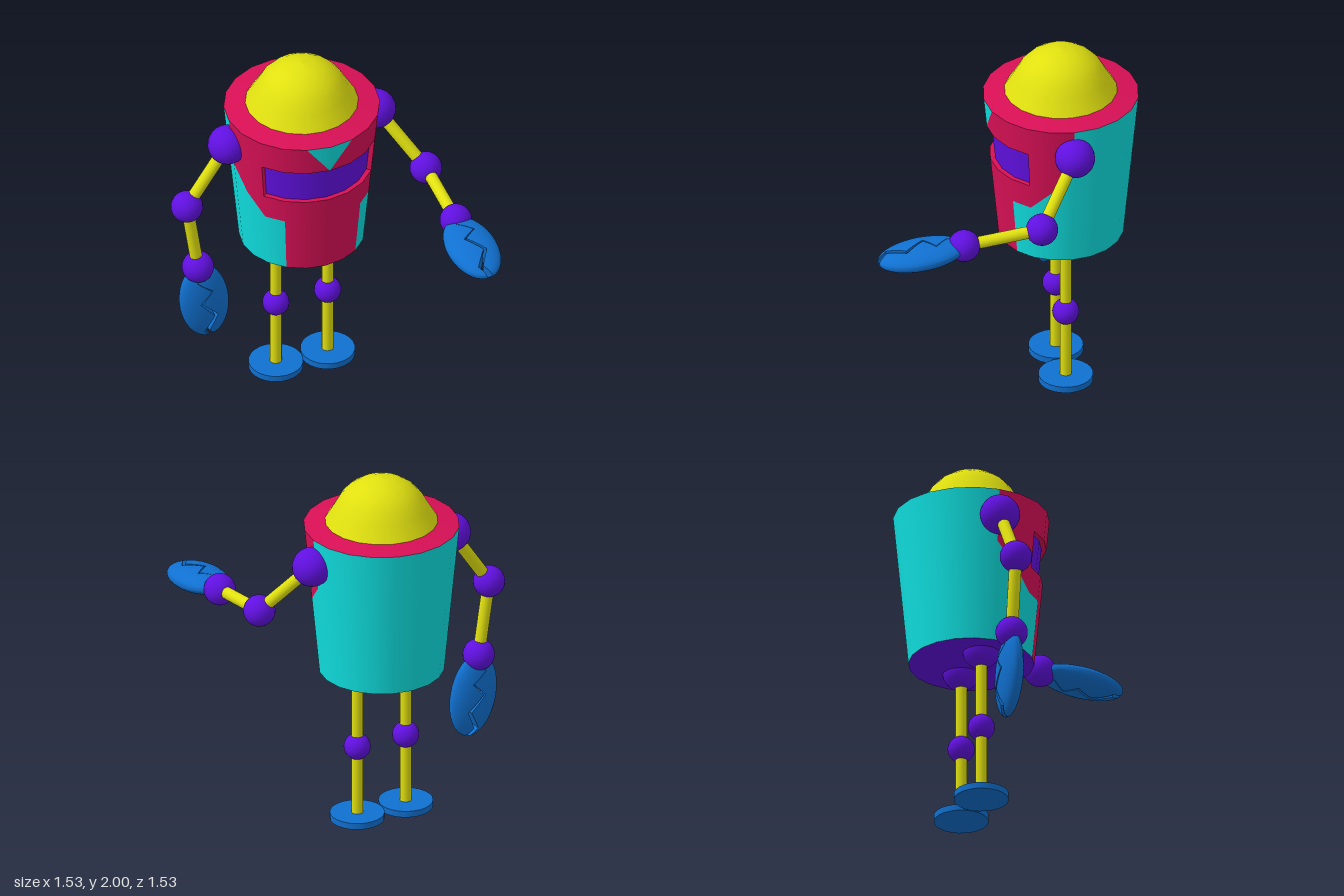
import * as THREE from 'three';
import { toCreasedNormals } from 'three/addons/utils/BufferGeometryUtils.js';

const mat = (color) => new THREE.MeshStandardMaterial({ color, side: THREE.DoubleSide });
const red = mat(0xd81055), cyan = mat(0x10e0e0), yellow = mat(0xe0e010);
const purple = mat(0x6010e0), blue = mat(0x1070d0);

const SIDES = 20, BOTTOM = 0.868, TOP = 1.725, R0 = 0.339, R1 = 0.421;
const radiusAt = (y) => R0 + (R1 - R0) * (y - BOTTOM) / (TOP - BOTTOM);
const V = (x, y, z) => new THREE.Vector3(x, y, z);

function add(parent, name, geometry, material, position) {
  const mesh = new THREE.Mesh(geometry, material);
  mesh.name = name;
  if (position) mesh.position.copy(position);
  parent.add(mesh);
  return mesh;
}

// Piece of the tapered shell between facet edges k0 and k1; low and high give its heights
function panel(k0, k1, low, high, insetLow = 0, insetHigh = insetLow) {
  const pos = [], nor = [], idx = [];
  for (let k = k0; k <= k1; k++) {
    const a = k * Math.PI * 2 / SIDES;
    for (const [y, inset] of [[low(Math.abs(k)), insetLow], [high(Math.abs(k)), insetHigh]]) {
      const r = radiusAt(y) - inset;
      pos.push(r * Math.sin(a), y, r * Math.cos(a));
      const n = V(Math.sin(a), (R0 - R1) / (TOP - BOTTOM), Math.cos(a)).normalize();
      nor.push(n.x, n.y, n.z);
    }
    if (k < k1) {
      const i = (k - k0) * 2;
      idx.push(i, i + 2, i + 3, i, i + 3, i + 1);
    }
  }
  const g = new THREE.BufferGeometry();
  g.setAttribute('position', new THREE.Float32BufferAttribute(pos, 3));
  g.setAttribute('normal', new THREE.Float32BufferAttribute(nor, 3));
  g.setIndex(idx);
  if (insetLow !== insetHigh) g.computeVertexNormals();
  return g;
}

function tube(parent, name, a, b, radius) {
  const mesh = add(parent, name, new THREE.CylinderGeometry(radius, radius, a.distanceTo(b), 16),
    yellow, a.clone().add(b).multiplyScalar(0.5));
  mesh.quaternion.setFromUnitVectors(V(0, 1, 0), b.clone().sub(a).normalize());
}

const ball = (parent, name, radius, p) =>
  add(parent, name, new THREE.SphereGeometry(radius, 24, 16), purple, p);

// Zigzag bite line of the claw: [angle along the ellipsoid in degrees, sideways offset]
const ZIGZAG = [[0, 0], [50, -0.03], [70, 0.04], [85, -0.035], [110, 0.04], [140, -0.025], [180, 0.01]];
const along = (deg) => -Math.cos(deg * Math.PI / 180);
function biteAt(deg) {
  const i = Math.max(1, ZIGZAG.findIndex(([d]) => d >= deg));
  const [d0, c0] = ZIGZAG[i - 1], [d1, c1] = ZIGZAG[i];
  return c0 + (c1 - c0) * (along(deg) - along(d0)) / (along(d1) - along(d0));
}

// One jaw: half of a flattened ellipsoid cut along the bite line
function jaw(side) {
  const pos = [], idx = [], N = 18, ROWS = 36;
  for (let i = 0; i <= ROWS; i++) {
    const deg = i * 180 / ROWS, v = along(deg);
    const s = Math.max(Math.sin(deg * Math.PI / 180), 0.001), w = 0.139 * s, t = 0.064 * s;
    const gap = 0.002 + 0.009 * Math.max(0, v + 0.5);
    const c = THREE.MathUtils.clamp(biteAt(deg) + side * gap, -0.95 * w, 0.95 * w);
    const a0 = Math.acos(c / w);
    const from = side > 0 ? a0 : 2 * Math.PI - a0, to = side > 0 ? -a0 : a0;
    for (let j = 0; j < N; j++) {
      const a = from + (to - from) * j / (N - 1);
      pos.push(w * Math.cos(a), 0.24 * v, t * Math.sin(a));
      if (i < ROWS) {
        const p = i * N + j, q = i * N + (j + 1) % N;
        idx.push(p, q, q + N, p, q + N, p + N);
      }
    }
  }
  const g = new THREE.BufferGeometry();
  g.setAttribute('position', new THREE.Float32BufferAttribute(pos, 3));
  g.setIndex(idx);
  return toCreasedNormals(g, 0.7);
}

function arm(parent, name, shoulder, elbow, wrist, claw, flat) {
  const g = new THREE.Group();
  g.name = name;
  ball(g, 'shoulder', 0.108, shoulder);
  tube(g, 'upperArm', shoulder, elbow, 0.034);
  ball(g, 'elbow', 0.087, elbow);
  tube(g, 'forearm', elbow, wrist, 0.034);
  ball(g, 'wrist', 0.087, wrist);
  // Claw points along the forearm, thin across the flat direction
  const hand = new THREE.Group();
  hand.name = 'claw';
  const dir = claw.clone().normalize();
  const x = dir.clone().cross(flat).normalize();
  hand.quaternion.setFromRotationMatrix(new THREE.Matrix4().makeBasis(x, dir, x.clone().cross(dir)));
  hand.position.copy(wrist).addScaledVector(dir, 0.235);
  add(hand, 'innerJaw', jaw(1), blue);
  add(hand, 'outerJaw', jaw(-1), blue);
  g.add(hand);
  parent.add(g);
}

export function createModel() {
  const model = new THREE.Group();
  model.name = 'robot';
  const robot = new THREE.Group();
  robot.name = 'figure';
  robot.position.set(-0.016, 0, -0.345);
  model.add(robot);

  // Torso shell: red front, cyan back and chest triangle
  const body = new THREE.Group();
  body.name = 'torso';
  robot.add(body);
  const at = (y) => () => y;
  const BAND0 = 1.346, BAND1 = 1.555, STEP = 1.2, SIDE = 1.43, INSET = 0.027;
  const notch = (k) => (k === 0 ? BAND1 : TOP);
  const slope = (k) => (k <= 3 || k >= 17 ? STEP : k === 4 || k === 16 ? (STEP + SIDE) / 2 : SIDE);
  add(body, 'chest', panel(-3, 3, at(BAND1), notch), red);
  add(body, 'chestTriangle', panel(-1, 1, notch, at(TOP)), cyan);
  add(body, 'leftFlank', panel(3, 5, slope, at(TOP)), red);
  add(body, 'rightFlank', panel(-5, -3, slope, at(TOP)), red);
  add(body, 'belly', panel(-3, 3, at(STEP), at(BAND0)), red);
  add(body, 'lowerBelly', panel(-2, 2, at(BOTTOM), at(STEP)), red);
  add(body, 'lowerBack', panel(2, 18, at(BOTTOM), slope), cyan);
  add(body, 'upperBack', panel(5, 15, at(SIDE), at(TOP)), cyan);

  // Recessed visor band with its ledges
  add(body, 'visor', panel(-3, 3, at(BAND0), at(BAND1), INSET), purple);
  add(body, 'visorSill', panel(-3, 3, at(BAND0), at(BAND0), 0, INSET), red);
  add(body, 'visorHeader', panel(-3, 3, at(BAND1), at(BAND1), INSET, 0), red);
  for (const s of [-1, 1]) {
    const a = s * 3 * Math.PI * 2 / SIDES, r = radiusAt((BAND0 + BAND1) / 2) - INSET / 2;
    const wall = add(body, 'visorEnd', new THREE.PlaneGeometry(INSET, BAND1 - BAND0), red,
      V(r * Math.sin(a), (BAND0 + BAND1) / 2, r * Math.cos(a)));
    wall.rotation.set(0, a - Math.PI / 2, -Math.atan((R1 - R0) / (TOP - BOTTOM)));
  }

  // Underside, rim and dome
  const base = add(body, 'underside', new THREE.CircleGeometry(R0, SIDES), purple, V(0, BOTTOM, 0));
  base.rotation.set(Math.PI / 2, 0, Math.PI / 2);
  add(body, 'rim', new THREE.LatheGeometry(
    [new THREE.Vector2(R1, TOP), new THREE.Vector2(0.3, 1.747)], SIDES), red);
  const profile = [new THREE.Vector2(0.305, 1.746)];
  for (let i = 0; i <= 5; i++) {
    const a = (22.5 + 13.5 * i) * Math.PI / 180;
    profile.push(new THREE.Vector2(i === 5 ? 0 : 0.275 * Math.cos(a), 1.725 + 0.275 * Math.sin(a)));
  }
  add(robot, 'dome', new THREE.LatheGeometry(profile, SIDES), yellow);

  // Legs
  for (const s of [-1, 1]) {
    const leg = new THREE.Group();
    leg.name = s > 0 ? 'leftLeg' : 'rightLeg';
    leg.position.x = s * 0.15;
    ball(leg, 'hip', 0.102, V(0, 0.885, 0));
    tube(leg, 'legTube', V(0, 0.02, 0), V(0, 0.87, 0), 0.032);
    ball(leg, 'knee', 0.073, V(0, 0.428, 0));
    add(leg, 'foot', new THREE.CylinderGeometry(0.148, 0.148, 0.036, 24), blue, V(0, 0.018, 0));
    robot.add(leg);
  }

  // Right arm hangs down, left arm reaches forward
  arm(robot, 'rightArm', V(-0.43, 1.57, 0), V(-0.666, 1.218, 0), V(-0.602, 0.795, 0),
    V(0.148, -0.989, 0), V(0, 0, -1));
  arm(robot, 'leftArm', V(0.43, 1.57, 0), V(0.632, 1.265, 0.217), V(0.634, 1.212, 0.642),
    V(0, -0.12, 0.99), V(0, -1, 0));
  return model;
}
